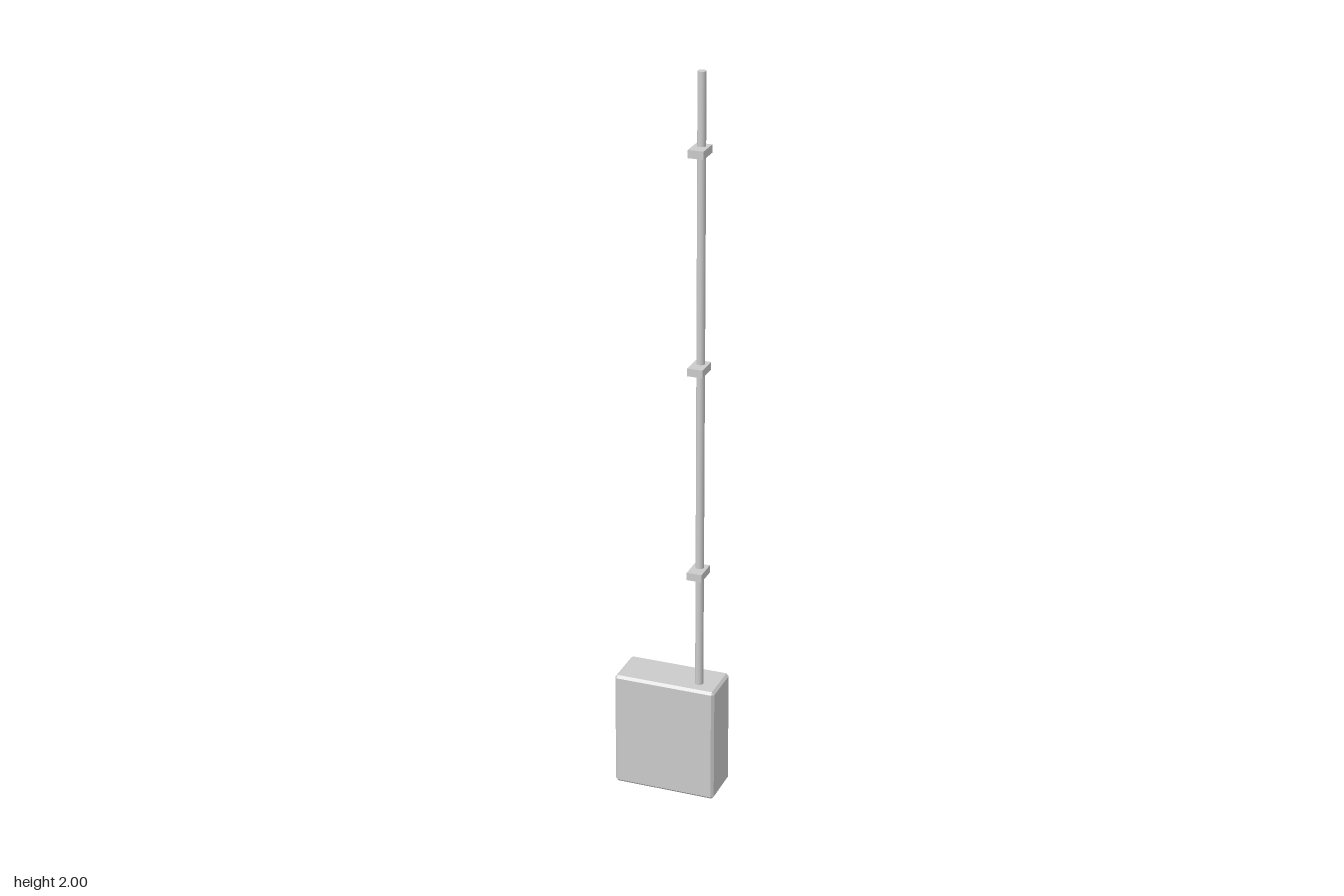
import * as THREE from 'three';
import { ConvexGeometry } from 'three/addons/geometries/ConvexGeometry.js';

// Box with every edge cut at 45 degrees
function chamferedBox(w, h, d, c) {
  const points = [];
  for (const sx of [-1, 1]) for (const sy of [-1, 1]) for (const sz of [-1, 1]) {
    const x = w / 2, y = h / 2, z = d / 2;
    points.push(
      new THREE.Vector3(sx * x, sy * (y - c), sz * (z - c)),
      new THREE.Vector3(sx * (x - c), sy * y, sz * (z - c)),
      new THREE.Vector3(sx * (x - c), sy * (y - c), sz * z),
    );
  }
  return new ConvexGeometry(points);
}

export function createModel() {
  const model = new THREE.Group();
  const material = new THREE.MeshStandardMaterial({ color: 0xcccccc });
  const flat = new THREE.MeshStandardMaterial({ color: 0xcccccc, flatShading: true });

  const add = (name, geometry, mat, x, y, z) => {
    const mesh = new THREE.Mesh(geometry, mat);
    mesh.name = name;
    mesh.position.set(x, y, z);
    model.add(mesh);
  };

  // Enclosure standing on the ground
  const boxHeight = 0.325;
  add('enclosure', chamferedBox(0.282, boxHeight, 0.126, 0.007), flat, 0, boxHeight / 2, 0);

  // Conduit rising from the top of the enclosure
  const px = 0.085, pz = 0.02, base = 0.315;
  add('conduit', new THREE.CylinderGeometry(0.011, 0.011, 2 - base, 16), material, px, (2 + base) / 2, pz);

  // Clamps along the conduit
  const clamp = new THREE.BoxGeometry(0.041, 0.021, 0.063);
  [0.657, 1.229, 1.801].forEach((y, i) => add(`clamp${i + 1}`, clamp, flat, px, y, 0.031));

  return model;
}
